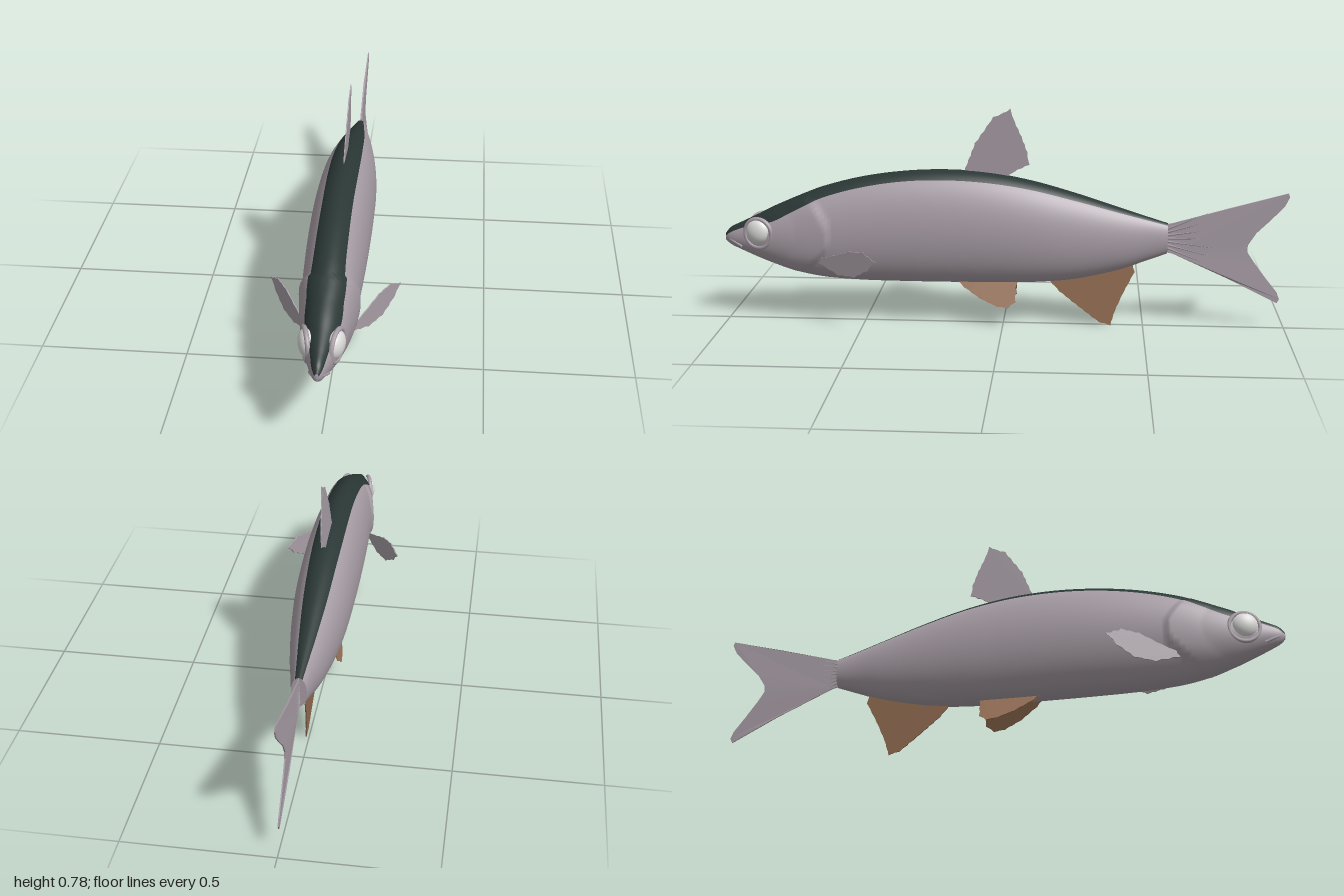
import * as THREE from 'three';

const mat = (name, color, side = THREE.FrontSide) => {
  const m = new THREE.MeshStandardMaterial({ color, side });
  m.name = name;
  return m;
};

// Body stations: z, top y, bottom y, half width, half angle of the dark back (degrees)
const STATIONS = [
  [1.0, 0.325, 0.3, 0.007, 70], [0.98, 0.348, 0.283, 0.02, 60], [0.94, 0.368, 0.264, 0.034, 50],
  [0.88, 0.397, 0.238, 0.052, 50], [0.82, 0.428, 0.215, 0.068, 55], [0.74, 0.463, 0.189, 0.081, 45],
  [0.64, 0.503, 0.17, 0.089, 36], [0.5, 0.54, 0.161, 0.096, 32], [0.35, 0.562, 0.159, 0.101, 30],
  [0.2, 0.569, 0.159, 0.103, 30], [0.05, 0.56, 0.16, 0.102, 30], [-0.1, 0.533, 0.164, 0.097, 29],
  [-0.25, 0.492, 0.178, 0.083, 29], [-0.4, 0.444, 0.212, 0.061, 28], [-0.5, 0.412, 0.247, 0.041, 28],
  [-0.58, 0.387, 0.277, 0.026, 28],
];

const curveOf = (a, b) => new THREE.CatmullRomCurve3(
  STATIONS.map((s) => new THREE.Vector3(s[a], s[b], s[0])), false, 'catmullrom', 0.5);

// Lofted body; group 0 is the dark back, group 1 the sides and belly
function bodyGeometry() {
  const rows = 180, back = 8, half = 28, ring = half * 2;
  const upper = curveOf(3, 1), lower = curveOf(4, 2);
  const pos = [], dark = [], pale = [];
  for (let i = 0; i <= rows; i++) {
    const top = upper.getPoint(i / rows), bot = lower.getPoint(i / rows);
    const mid = (top.y + bot.y) / 2, h = (top.y - bot.y) / 2;
    const split = THREE.MathUtils.degToRad(bot.x);
    for (let j = 0; j < ring; j++) {
      const k = j <= half ? j : ring - j;
      const t = k <= back ? split * k / back : split + (Math.PI - split) * (k - back) / (half - back);
      const y = mid + h * Math.cos(t);
      // Gill cover: a raised plate ending in a curved step
      const s = (y - 0.345) / 0.13;
      const e = top.z - (0.61 + 0.09 * s * s);
      const fade = Math.max(0, 1 - Math.abs(s) / 1.3);
      const bulge = e > 0 && e < 0.12 ? 0.009 * (1 - e / 0.12) * Math.min(1, fade * 2) : 0;
      pos.push((j <= half ? 1 : -1) * (top.x * Math.sin(t) + bulge), y, top.z);
    }
  }
  for (let i = 0; i < rows; i++) {
    for (let j = 0; j < ring; j++) {
      const n = (j + 1) % ring;
      const a = i * ring + j, b = i * ring + n;
      (j < back || j >= ring - back ? dark : pale).push(a, b, a + ring, b, b + ring, a + ring);
    }
  }
  // Closed snout tip
  const tip = pos.length / 3;
  pos.push(0, 0.312, 1.002);
  for (let j = 0; j < ring; j++) pale.push(tip, (j + 1) % ring, j);

  const g = new THREE.BufferGeometry();
  g.setAttribute('position', new THREE.Float32BufferAttribute(pos, 3));
  g.setIndex([...dark, ...pale]);
  g.addGroup(0, dark.length, 0);
  g.addGroup(dark.length, pale.length, 1);
  g.computeVertexNormals();
  return g;
}

// Thin fin from a [z, y] outline; lean(z, y) gives its sideways offset, tooth the edge raggedness
function finGeometry(outline, lean, tooth = 0, thick = 0.004) {
  const cz = outline.reduce((s, p) => s + p[0], 0) / outline.length;
  const cy = outline.reduce((s, p) => s + p[1], 0) / outline.length;
  const pts = [];
  outline.forEach((p, i) => {
    const q = outline[(i + 1) % outline.length];
    const n = tooth ? 2 * Math.max(1, Math.round(Math.hypot(q[0] - p[0], q[1] - p[1]) / 0.035)) : 1;
    for (let k = 0; k < n; k++) {
      const pull = k % 2 ? tooth : 0;
      const z = p[0] + (q[0] - p[0]) * k / n, y = p[1] + (q[1] - p[1]) * k / n;
      pts.push(new THREE.Vector2(-(z + (cz - z) * pull), y + (cy - y) * pull));
    }
  });
  const g = new THREE.ExtrudeGeometry(new THREE.Shape(pts), { depth: thick, bevelEnabled: false });
  g.translate(0, 0, -thick / 2).rotateY(Math.PI / 2);
  const p = g.attributes.position;
  for (let i = 0; i < p.count; i++) p.setX(i, p.getX(i) + lean(p.getZ(i), p.getY(i)));
  g.computeVertexNormals();
  return g;
}

export function createModel() {
  const silver = mat('silver scales', 0xa89ea6, THREE.DoubleSide);
  const darkBack = mat('dark back', 0x2a3735);
  const brown = mat('brown fin', 0x946e53, THREE.DoubleSide);
  const eyeWhite = mat('pale eye', 0xdcdcda);

  const fish = new THREE.Group();
  fish.name = 'fish';
  const add = (name, geometry, material) => {
    const m = new THREE.Mesh(geometry, material);
    m.name = name;
    fish.add(m);
    return m;
  };

  add('body', bodyGeometry(), [darkBack, silver]);
  const cap = add('tailStump', new THREE.CircleGeometry(1, 32), silver);
  cap.scale.set(0.026, 0.055, 1);
  cap.position.set(0, 0.332, -0.58);
  cap.rotation.y = Math.PI;

  // Forked tail with short rays at its root
  add('tailFin', finGeometry([
    [-0.56, 0.38], [-0.6, 0.388], [-0.8, 0.445], [-0.995, 0.5], [-1.0, 0.487], [-0.985, 0.455],
    [-0.94, 0.405], [-0.89, 0.355], [-0.862, 0.31], [-0.862, 0.285], [-0.885, 0.25], [-0.93, 0.19],
    [-0.97, 0.14], [-0.98, 0.115], [-0.972, 0.1], [-0.8, 0.185], [-0.6, 0.276], [-0.56, 0.285],
  ], (z) => 0.004 * Math.sin((z + 0.58) * 7)), silver);
  for (let i = 0; i < 7; i++) {
    const a = (i - 3) * 0.13;
    const ray = add('tailRay', new THREE.ConeGeometry(0.005, 0.17, 5), silver);
    ray.position.set(0, 0.332 + (i - 3) * 0.011 + 0.08 * Math.sin(a), -0.575 - 0.08 * Math.cos(a));
    ray.rotation.x = -Math.PI / 2 + a;
  }

  // Single fins on the midline
  add('dorsalFin', finGeometry([
    [0.14, 0.55], [0.135, 0.575], [0.1, 0.665], [0.035, 0.76], [0.0, 0.775], [-0.025, 0.79],
    [-0.04, 0.745], [-0.065, 0.69], [-0.085, 0.635], [-0.092, 0.59], [-0.04, 0.565], [0.0, 0.535],
  ], (z, y) => 0.045 * (y - 0.56), 0.03), silver);
  add('analFin', finGeometry([
    [-0.15, 0.185], [-0.46, 0.25], [-0.468, 0.205], [-0.43, 0.13], [-0.4, 0.06], [-0.385, 0.008],
    [-0.345, 0.018], [-0.27, 0.075], [-0.2, 0.13],
  ], (z, y) => 0.06 * (0.18 - y), 0.025), brown);

  for (const side of [1, -1]) {
    const label = side > 0 ? 'left' : 'right';
    add(label + 'PectoralFin', finGeometry([
      [0.655, 0.24], [0.576, 0.21], [0.51, 0.214], [0.456, 0.25], [0.424, 0.287],
      [0.472, 0.312], [0.528, 0.306], [0.6, 0.275], [0.645, 0.26],
    ], (z) => side * (0.08 + (0.64 - z) / 1.6), 0.06), silver);
    add(label + 'PelvicFin', finGeometry([
      [0.17, 0.175], [-0.03, 0.185], [-0.05, 0.165], [-0.046, 0.1], [-0.02, 0.08], [0.02, 0.085],
      [0.08, 0.11], [0.14, 0.148],
    ], (z, y) => side * (0.024 + 0.42 * (0.165 - y)), 0.04), brown);

    // Eye, set in a low rim
    const eye = add(label + 'Eye', new THREE.SphereGeometry(1, 32, 20), eyeWhite);
    eye.scale.set(0.026, 0.045, 0.045);
    eye.position.set(side * 0.045, 0.344, 0.872);
    eye.rotation.y = -side * 0.3;
    const rim = add(label + 'EyeRim', new THREE.TorusGeometry(0.052, 0.008, 8, 40), silver);
    rim.position.set(side * 0.048, 0.338, 0.87);
    rim.rotation.y = side * (Math.PI / 2 - 0.27);

    // Lip along the mouth
    const lip = new THREE.CatmullRomCurve3([
      new THREE.Vector3(0, 0.311, 0.996), new THREE.Vector3(side * 0.015, 0.306, 0.98),
      new THREE.Vector3(side * 0.024, 0.295, 0.957), new THREE.Vector3(side * 0.029, 0.284, 0.935),
    ]);
    add(label + 'Lip', new THREE.TubeGeometry(lip, 16, 0.005, 8), silver);
  }
  return fish;
}
